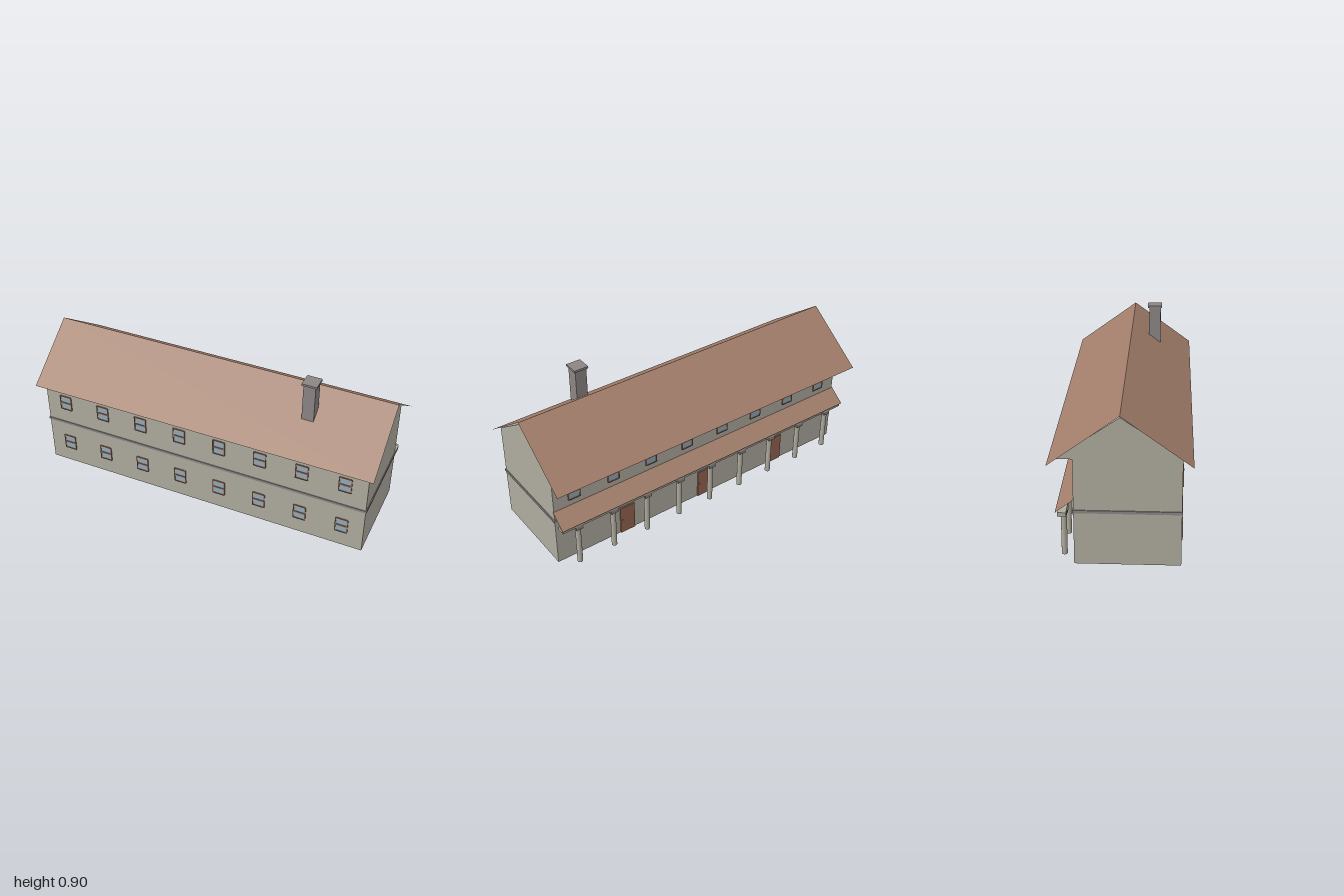
import * as THREE from 'three';

const mat = (name, color, opts = {}) => {
  const m = new THREE.MeshStandardMaterial({ color, ...opts });
  m.name = name;
  return m;
};

export function createModel() {
  const house = new THREE.Group();
  house.name = 'longHouse';

  const plaster = mat('plaster', 0xaeab9e);
  const tile = mat('roofTile', 0xa27e6b, { side: THREE.DoubleSide });
  const stone = mat('greyStone', 0x8b8584);
  const wood = mat('brownWood', 0x96654f);
  const glass = mat('paleGlass', 0x93a9b5);

  const add = (name, geo, material, parent = house) => {
    const mesh = new THREE.Mesh(geo, material);
    mesh.name = name;
    parent.add(mesh);
    return mesh;
  };

  // box given by its lower and upper corners
  const box = (name, material, [x0, y0, z0], [x1, y1, z1], parent = house) => {
    const mesh = add(name, new THREE.BoxGeometry(x1 - x0, y1 - y0, z1 - z0), material, parent);
    mesh.position.set((x0 + x1) / 2, (y0 + y1) / 2, (z0 + z1) / 2);
    return mesh;
  };

  // solid with a constant z,y cross-section, running along x
  const prism = (name, material, zy, x0, x1) => {
    const shape = new THREE.Shape(zy.map(([z, y]) => new THREE.Vector2(-z, y)));
    const geo = new THREE.ExtrudeGeometry(shape, { depth: x1 - x0, bevelEnabled: false });
    geo.rotateY(Math.PI / 2).translate(x0, 0, 0);
    return add(name, geo, material);
  };

  // thin sloping sheet between two z,y points, facing up
  const sheet = (name, [zTop, yTop], [zLow, yLow], halfX) => {
    const s = Math.sign(zLow - zTop) * halfX;
    const geo = new THREE.BufferGeometry();
    geo.setAttribute('position', new THREE.Float32BufferAttribute([
      -s, yTop, zTop, -s, yLow, zLow, s, yLow, zLow, s, yTop, zTop], 3));
    geo.setIndex([0, 1, 2, 0, 2, 3]);
    geo.computeVertexNormals();
    return add(name, geo, tile);
  };

  const FRONT = 0.298, BACK = -0.228, END = 0.965;

  // walls with gables, and the wider gable piece at one end
  const peak = 0.776, slope = 0.686;
  prism('walls', plaster, [
    [FRONT, 0], [FRONT, peak - slope * FRONT], [0, peak], [BACK, peak + slope * BACK], [BACK, 0],
  ], -END, END);
  prism('gableOverhang', plaster, [[0.313, 0.561], [0, peak], [-0.313, 0.561]], -END - 0.001, -0.75);

  // stone course between the floors
  box('stringCourse', stone, [-0.97, 0.278, BACK - 0.004], [0.97, 0.293, FRONT + 0.004]);

  // main roof slopes
  sheet('roofFront', [0, 0.795], [0.35, 0.54], 1);
  sheet('roofBack', [0, 0.795], [-0.35, 0.54], 1);

  // chimney and its cap
  box('chimney', stone, [0.535, 0.6, 0.098], [0.602, 0.89, 0.167]);
  box('chimneyCap', stone, [0.527, 0.89, 0.09], [0.61, 0.902, 0.174]);

  // two-pane window, its back on local z = 0
  const makeWindow = (x, y, z, turn) => {
    const g = new THREE.Group();
    g.name = 'window';
    const w = 0.034, h = 0.045, t = 0.005, d = 0.006;
    box('glass', glass, [-w, -h, 0], [w, h, 0.003], g);
    for (const s of [-1, 1]) {
      box('frameSide', wood, [s * w - t / 2, -h, 0], [s * w + t / 2, h, d], g);
      box('frameRail', wood, [-w, s * h - t / 2, 0], [w, s * h + t / 2, d], g);
    }
    box('middleBar', wood, [-w, -0.005, 0], [w, 0.004, d], g);
    g.position.set(x, y, z);
    g.rotation.y = turn;
    house.add(g);
  };
  for (let i = 0; i < 8; i++) {
    const x = -0.842 + i * 0.2405;
    makeWindow(x, 0.431, FRONT, 0);
    makeWindow(x, 0.142, FRONT, 0);
    makeWindow(x, 0.431, BACK, Math.PI);
  }

  // back doors with knobs
  for (const x of [-0.525, 0, 0.525]) {
    box('door', wood, [x - 0.046, 0, BACK - 0.006], [x + 0.046, 0.17, BACK]);
    const knob = add('doorKnob', new THREE.SphereGeometry(0.004, 8, 6), stone);
    knob.position.set(x + 0.034, 0.086, BACK - 0.007);
  }

  // porch: columns with square capitals, beam and lean-to roof
  for (let i = 0; i < 9; i++) {
    const x = -0.865 + i * 0.21625;
    const column = add('porchColumn', new THREE.CylinderGeometry(0.015, 0.015, 0.236, 16), plaster);
    column.position.set(x, 0.118, -0.285);
    box('columnCapital', stone, [x - 0.021, 0.234, -0.306], [x + 0.021, 0.255, -0.264]);
  }
  box('porchBeam', plaster, [-END, 0.255, -0.306], [END, 0.277, -0.264]);
  sheet('porchRoof', [BACK, 0.348], [-0.317, 0.279], END + 0.005);

  return house;
}
